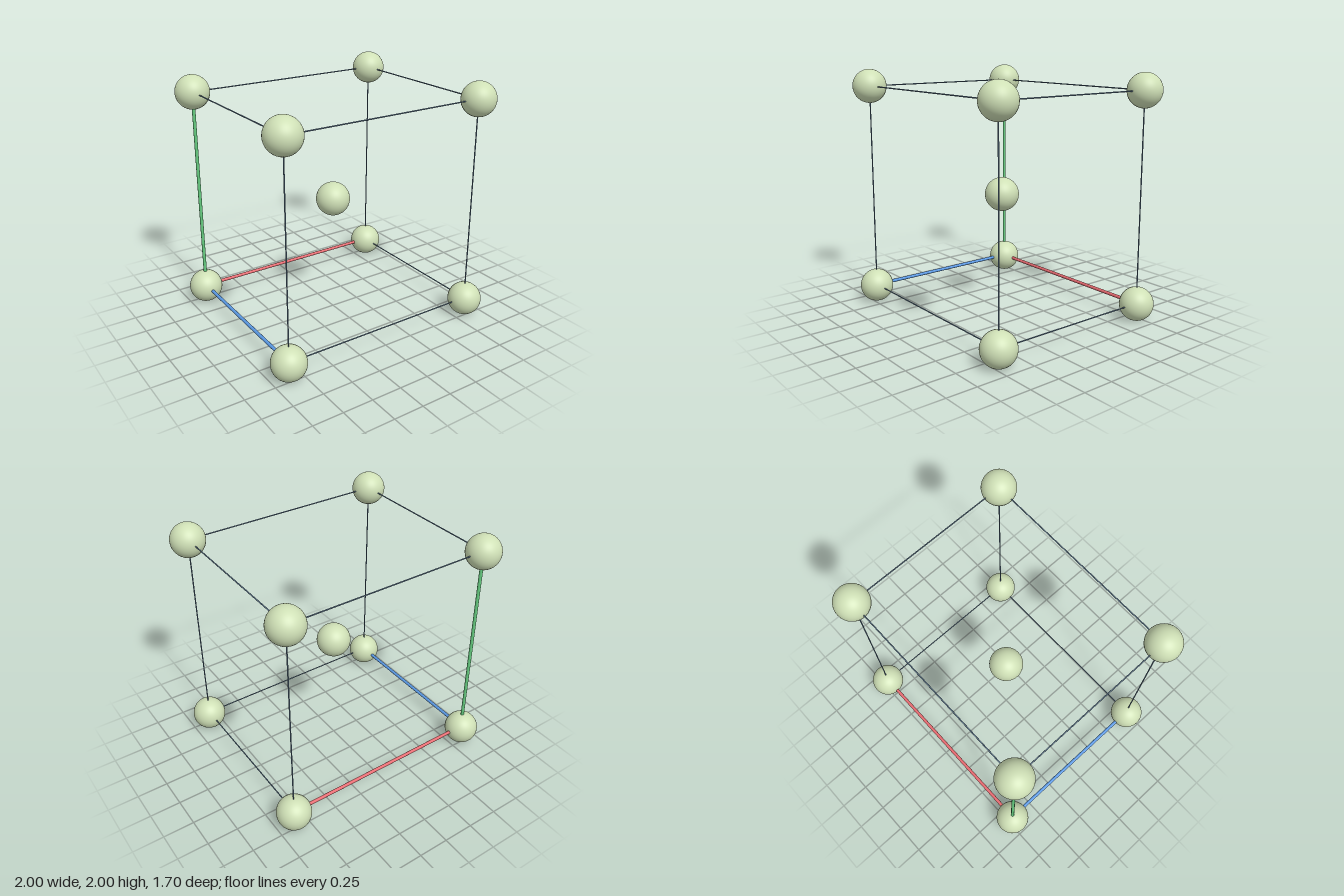
import * as THREE from 'three';

const X = 0.861, Y0 = 0.139, Y1 = 1.861, Z = 0.711; // cell corners
const BALL = 0.139, THIN = 0.005, THICK = 0.014;

const mat = (name, color) => {
  const m = new THREE.MeshStandardMaterial({ color });
  m.name = name;
  return m;
};

export function createModel() {
  const group = new THREE.Group();
  group.name = 'unitCell';
  const sage = mat('pale sage green', 0xcfe0b6);
  const slate = mat('slate blue grey', 0x66829a);
  const red = mat('axis red', 0xe66a70);
  const green = mat('axis green', 0x66cc80);
  const blue = mat('axis blue', 0x5c9be6);

  // Balls at the corners and the centre
  const ballGeo = new THREE.SphereGeometry(BALL, 40, 28);
  const addBall = (name, x, y, z) => {
    const ball = new THREE.Mesh(ballGeo, sage);
    ball.name = name;
    ball.position.set(x, y, z);
    group.add(ball);
  };
  addBall('centreBall', 0, 1, 0);
  for (const x of [-X, X])
    for (const y of [Y0, Y1])
      for (const z of [-Z, Z]) addBall('cornerBall', x, y, z);

  // Straight rod between two points
  const addRod = (name, a, b, radius, material) => {
    const dir = b.clone().sub(a);
    const rod = new THREE.Mesh(new THREE.CylinderGeometry(radius, radius, dir.length(), 16), material);
    rod.name = name;
    rod.position.copy(a).add(b).multiplyScalar(0.5);
    rod.quaternion.setFromUnitVectors(new THREE.Vector3(0, 1, 0), dir.normalize());
    group.add(rod);
  };
  const v = (x, y, z) => new THREE.Vector3(x, y, z);

  // Twelve edges; the three meeting at the back lower corner are thick coloured axes
  const edge = (name, a, b, axis, axisMat) =>
    addRod(axis ? name + 'Axis' : name + 'Edge', a, b, axis ? THICK : THIN, axis ? axisMat : slate);
  for (const y of [Y0, Y1])
    for (const z of [-Z, Z]) edge('width', v(-X, y, z), v(X, y, z), y === Y0 && z < 0, red);
  for (const x of [-X, X])
    for (const z of [-Z, Z]) edge('height', v(x, Y0, z), v(x, Y1, z), x < 0 && z < 0, green);
  for (const x of [-X, X])
    for (const y of [Y0, Y1]) edge('depth', v(x, y, -Z), v(x, y, Z), x < 0 && y === Y0, blue);

  return group;
}
